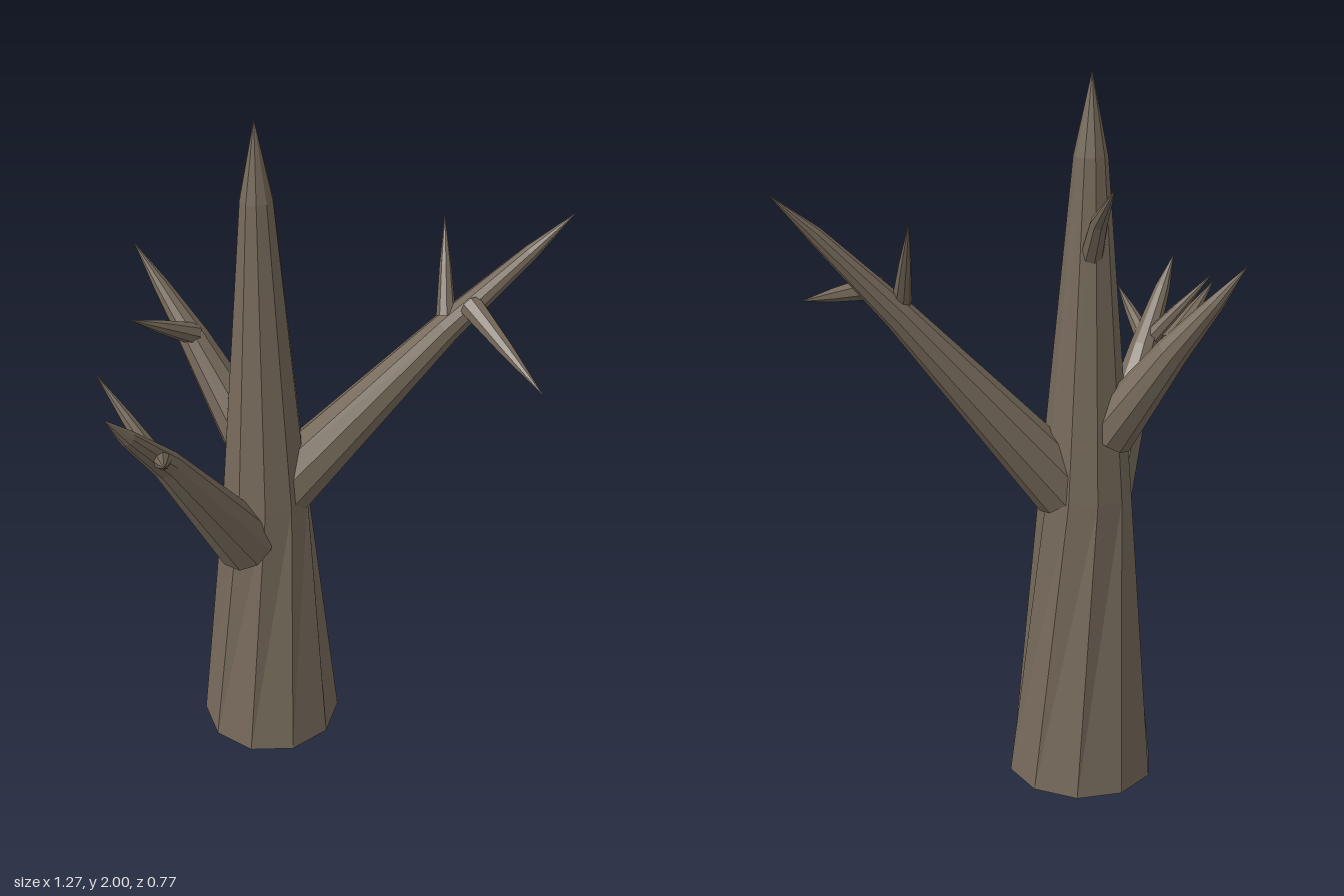
import * as THREE from 'three';

const bark = new THREE.MeshStandardMaterial({ color: 0x75695a, flatShading: true });
bark.name = 'bark';

// Tapered faceted limb through [x, y, z, radius] stations, ending in a point.
// Rings face along the limb; twist turns every ring above the first.
function limb(name, sides, stations, twist = 0) {
  const centres = stations.map(([x, y, z]) => new THREE.Vector3(x, y, z));
  const dir = centres.at(-1).clone().sub(centres[0]).normalize();
  const tilt = new THREE.Quaternion().setFromUnitVectors(new THREE.Vector3(0, 1, 0), dir);
  const positions = [];
  const index = [];
  stations.slice(0, -1).forEach((s, k) => {
    for (let i = 0; i < sides; i++) {
      const a = Math.PI / 2 + (i / sides) * Math.PI * 2 + (k > 0 ? twist : 0);
      const p = new THREE.Vector3(Math.sin(a) * s[3], 0, Math.cos(a) * s[3]);
      positions.push(...p.applyQuaternion(tilt).add(centres[k]).toArray());
    }
  });
  const rings = stations.length - 1;
  const base = rings * sides;
  const tip = base + 1;
  positions.push(...centres[0].toArray(), ...centres.at(-1).toArray());
  for (let i = 0; i < sides; i++) {
    const j = (i + 1) % sides;
    index.push(base, j, i);
    for (let k = 0; k < rings - 1; k++) {
      const a = k * sides + i, b = k * sides + j;
      index.push(a, b, b + sides, a, b + sides, a + sides);
    }
    const last = (rings - 1) * sides;
    index.push(last + i, last + j, tip);
  }
  const geometry = new THREE.BufferGeometry();
  geometry.setAttribute('position', new THREE.Float32BufferAttribute(positions, 3));
  geometry.setIndex(index);
  geometry.computeVertexNormals();
  const mesh = new THREE.Mesh(geometry, bark);
  mesh.name = name;
  return mesh;
}

// Short spike: widest at the root, a narrower ring near the end, then a point.
function twig(name, root, tip, radius) {
  const mid = root.map((v, i) => v + (tip[i] - v) * 0.5);
  return limb(name, 8, [[...root, radius], [...mid, radius * 0.6], [...tip, 0]]);
}

export function createModel() {
  const tree = new THREE.Group();
  tree.name = 'bareTree';
  tree.add(
    // Trunk
    limb('trunk', 10, [
      [-0.21, 0, -0.135, 0.21],
      [-0.21, 0.85, -0.135, 0.128],
      [-0.21, 1.78, -0.135, 0.046],
      [-0.21, 2, -0.135, 0],
    ], Math.PI / 10),

    // Main branches
    limb('leftBranch', 10, [
      [-0.15, 0.87, -0.14, 0.096],
      [0.3, 1.385, -0.142, 0.043],
      [0.515, 1.61, -0.14, 0.022],
      [0.63, 1.72, -0.15, 0],
    ]),
    limb('frontRightBranch', 10, [
      [-0.27, 0.73, -0.05, 0.092],
      [-0.465, 1.16, 0.165, 0.042],
      [-0.55, 1.31, 0.26, 0.023],
      [-0.6, 1.4, 0.31, 0],
    ]),
    limb('backRightBranch', 10, [
      [-0.26, 1.03, -0.18, 0.075],
      [-0.4, 1.28, -0.28, 0.045],
      [-0.49, 1.42, -0.345, 0.023],
      [-0.56, 1.53, -0.39, 0],
    ]),

    // Twigs
    limb('trunkTwig', 8, [
      [-0.205, 1.49, -0.155, 0.034],
      [-0.205, 1.625, -0.24, 0.024],
      [-0.205, 1.74, -0.38, 0],
    ]),
    twig('leftBranchUpperTwig', [0.295, 1.42, -0.14], [0.295, 1.66, -0.275], 0.027),
    twig('leftBranchLowerTwig', [0.36, 1.46, -0.12], [0.525, 1.355, 0.175], 0.034),
    twig('frontRightUpperTwig', [-0.48, 1.17, 0.18], [-0.64, 1.395, 0.08], 0.03),
    twig('frontRightLowerTwig', [-0.475, 1.18, 0.17], [-0.45, 1.3, 0.385], 0.029),
    twig('backRightTwig', [-0.4, 1.3, -0.27], [-0.565, 1.43, -0.13], 0.032),
  );
  return tree;
}
